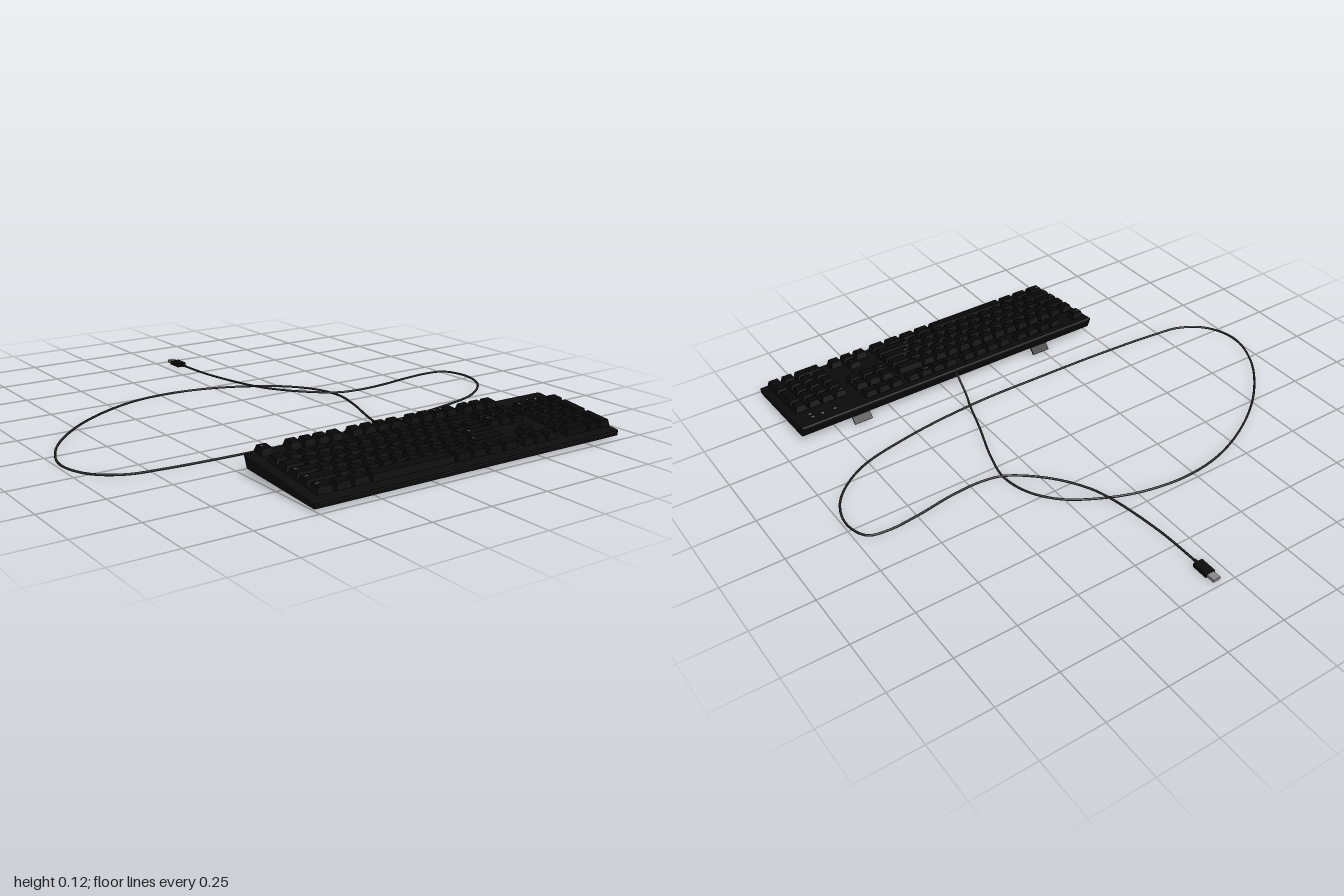
import * as THREE from 'three';

const mat = (name, color) => Object.assign(new THREE.MeshStandardMaterial({ color }), { name });

export function createModel() {
  const model = new THREE.Group();
  model.name = 'keyboard';
  const caseBlack = mat('case black', 0x0c0c0c);
  const keyBlack = mat('keycap black', 0x090909);
  const cableGrey = mat('cable charcoal', 0x222222);
  const metal = mat('plug metal', 0x8a8a8a);
  const pale = mat('marking grey', 0x9a9a9a);

  const add = (parent, name, geometry, material, x = 0, y = 0, z = 0) => {
    const mesh = new THREE.Mesh(geometry, material);
    mesh.name = name;
    mesh.position.set(x, y, z);
    parent.add(mesh);
    return mesh;
  };
  const box = (w, h, d) => new THREE.BoxGeometry(w, h, d);

  // Wedge-shaped case: side profile (z, y) swept across x
  const profile = [[0.968, 0.008], [0.977, 0.011], [0.98, 0.032], [0.973, 0.0345],
    [0.563, 0.0845], [0.555, 0.08], [0.574, 0.034], [0.58, 0.031]];
  const shape = new THREE.Shape(profile.map(([z, y]) => new THREE.Vector2(z, y)));
  const bevel = 0.006, width = 1.41, midX = 0.2;
  const caseGeo = new THREE.ExtrudeGeometry(shape, {
    depth: width - 2 * bevel, bevelThickness: bevel, bevelSize: bevel,
    bevelOffset: -bevel, bevelSegments: 3,
  });
  caseGeo.rotateY(-Math.PI / 2);
  caseGeo.translate(midX + width / 2 - bevel, 0, 0);
  add(model, 'case', caseGeo, caseBlack);

  // Thin seams along the front and rear edges
  add(model, 'frontSeam', box(width - 0.03, 0.002, 0.002), cableGrey, midX, 0.028, 0.979);
  add(model, 'rearSeam', box(width - 0.03, 0.002, 0.002), cableGrey, midX, 0.076, 0.5568);

  // Sloped deck that carries all the keys
  const slope = Math.atan2(0.05, 0.41);
  const deck = new THREE.Group();
  deck.name = 'keyDeck';
  deck.position.set(midX, 0.0593, 0.77);
  deck.rotation.x = slope;
  model.add(deck);
  const localZ = (z) => (z - 0.77) / Math.cos(slope);

  const U = 0.0595, GAP = 0.007, KEY_H = 0.026, KEY_Y = 0.009;

  // Keycap: a box whose top face is drawn in
  const keyGeo = (w, d) => {
    const geo = box(w, KEY_H, d);
    const p = geo.attributes.position;
    for (let i = 0; i < p.count; i++) {
      if (p.getY(i) > 0) {
        p.setX(i, p.getX(i) - Math.sign(p.getX(i)) * 0.007);
        p.setZ(i, p.getZ(i) * (d - 0.013) / d - 0.002);
      }
    }
    geo.computeVertexNormals();
    return geo;
  };
  const addKey = (x, z, wu, du = 1, marked = false) => {
    const key = new THREE.Group();
    key.name = 'key';
    key.position.set(x + wu * U / 2 - midX, KEY_Y, localZ(z));
    add(key, 'keycap', keyGeo(wu * U - GAP, du * U - GAP), keyBlack, 0, KEY_H / 2, 0);
    add(key, 'keyStem', box(0.016, KEY_Y + 0.002, 0.016), keyBlack, 0, -KEY_Y / 2, 0);
    if (marked) {
      add(key, 'keyMark', box(0.014, 0.001, 0.003), pale, -wu * U / 2 + 0.023, KEY_H, -0.008);
    }
    deck.add(key);
  };

  // Rows run from back to front; negative widths are blank spaces
  const rowZ = [0.605, 0.691, 0.7505, 0.81, 0.8695, 0.929];
  const ones = (n) => Array(n).fill(1);
  const addRow = (x0, row, widths, marks = []) => {
    let x = x0;
    widths.forEach((w, i) => {
      if (w > 0) addKey(x, rowZ[row], w, 1, marks.includes(i));
      x += Math.abs(w) * U;
    });
  };

  // Main block
  const mainX = -0.483;
  addRow(mainX, 0, [1, -1, ...ones(4), -0.5, ...ones(4), -0.5, ...ones(4)], [0, 14]);
  addRow(mainX, 1, [...ones(13), 2]);
  addRow(mainX, 2, [1.5, ...ones(12), 1.5]);
  addRow(mainX, 3, [1.75, ...ones(11), 2.25], [0, 12]);
  addRow(mainX, 4, [2.25, ...ones(10), 2.75], [0, 11]);
  addRow(mainX, 5, [1.25, 1.25, 1.25, 6.25, 1.25, 1.25, 1.25, 1.25], [0]);

  // Navigation block and arrows
  const navX = 0.43;
  for (const row of [0, 1, 2]) addRow(navX, row, ones(3), row === 2 ? [0] : []);
  addRow(navX, 4, [-1, 1]);
  addRow(navX, 5, ones(3));

  // Number pad with two double-height keys
  const padX = 0.645;
  addRow(padX, 1, ones(4), [0]);
  for (const row of [2, 3, 4]) addRow(padX, row, ones(3));
  addRow(padX, 5, [2, 1]);
  addKey(padX + 3 * U, (rowZ[2] + rowZ[3]) / 2, 1, 2);
  addKey(padX + 3 * U, (rowZ[4] + rowZ[5]) / 2, 1, 2);

  // Indicator lights
  for (const [x, z] of [[0.735, 0.612], [0.79, 0.612], [0.833, 0.612], [0.833, 0.637]]) {
    add(deck, 'indicatorLight', box(0.011, 0.002, 0.007), pale, x - midX, 0.001, localZ(z));
  }

  // Folding rear feet and underside pads
  for (const x of [-0.235, 0.64]) {
    const foot = add(model, 'rearFoot', box(0.08, 0.05, 0.007), caseBlack, x, 0.023, 0.575);
    foot.rotation.x = 0.75;
  }
  for (const x of [-0.42, 0.2, 0.82]) {
    const pad = add(model, 'undersidePad', box(0.07, 0.006, 0.016), keyBlack, x, 0.009, 0.945);
    pad.rotation.x = 0.06;
  }

  // Cable: one long loop that crosses itself (x, y, z)
  const path = [
    [0.203, 0.072, 0.57], [0.204, 0.076, 0.545], [0.208, 0.052, 0.5], [0.215, 0.024, 0.45],
    [0.232, 0.009, 0.395], [0.278, 0.007, 0.246], [0.342, 0.008, 0.06], [0.369, 0.008, -0.075],
    [0.342, 0.008, -0.2], [0.262, 0.008, -0.31], [0.123, 0.009, -0.4], [-0.02, 0.01, -0.455],
    [-0.203, 0.011, -0.481], [-0.396, 0.012, -0.455], [-0.61, 0.012, -0.358],
    [-0.797, 0.012, -0.214], [-0.94, 0.013, -0.032], [-0.995, 0.013, 0.139],
    [-0.952, 0.013, 0.273], [-0.85, 0.013, 0.348], [-0.717, 0.013, 0.369], [-0.45, 0.014, 0.385],
    [-0.128, 0.016, 0.39], [0.219, 0.019, 0.385], [0.567, 0.021, 0.342], [0.807, 0.022, 0.273],
    [0.952, 0.023, 0.15], [0.995, 0.023, 0.02], [0.963, 0.023, -0.08], [0.888, 0.022, -0.1],
    [0.754, 0.021, -0.09], [0.594, 0.02, -0.064], [0.46, 0.019, -0.059], [0.369, 0.018, -0.08],
    [0.246, 0.018, -0.18], [0.16, 0.018, -0.3], [0.118, 0.018, -0.406], [0.075, 0.014, -0.663],
    [0.067, 0.012, -0.88],
  ].map((p) => new THREE.Vector3(...p));
  add(model, 'cable', new THREE.TubeGeometry(new THREE.CatmullRomCurve3(path), 360, 0.0046, 8),
    cableGrey);

  // Plug with strain relief and metal tip
  const relief = add(model, 'strainRelief', new THREE.CylinderGeometry(0.006, 0.008, 0.02, 10),
    caseBlack, 0.067, 0.012, -0.868);
  relief.rotation.x = Math.PI / 2;
  add(model, 'plugGrip', box(0.041, 0.017, 0.07), caseBlack, 0.067, 0.012, -0.91);
  add(model, 'plugTip', box(0.031, 0.012, 0.037), metal, 0.067, 0.012, -0.9615);

  return model;
}
